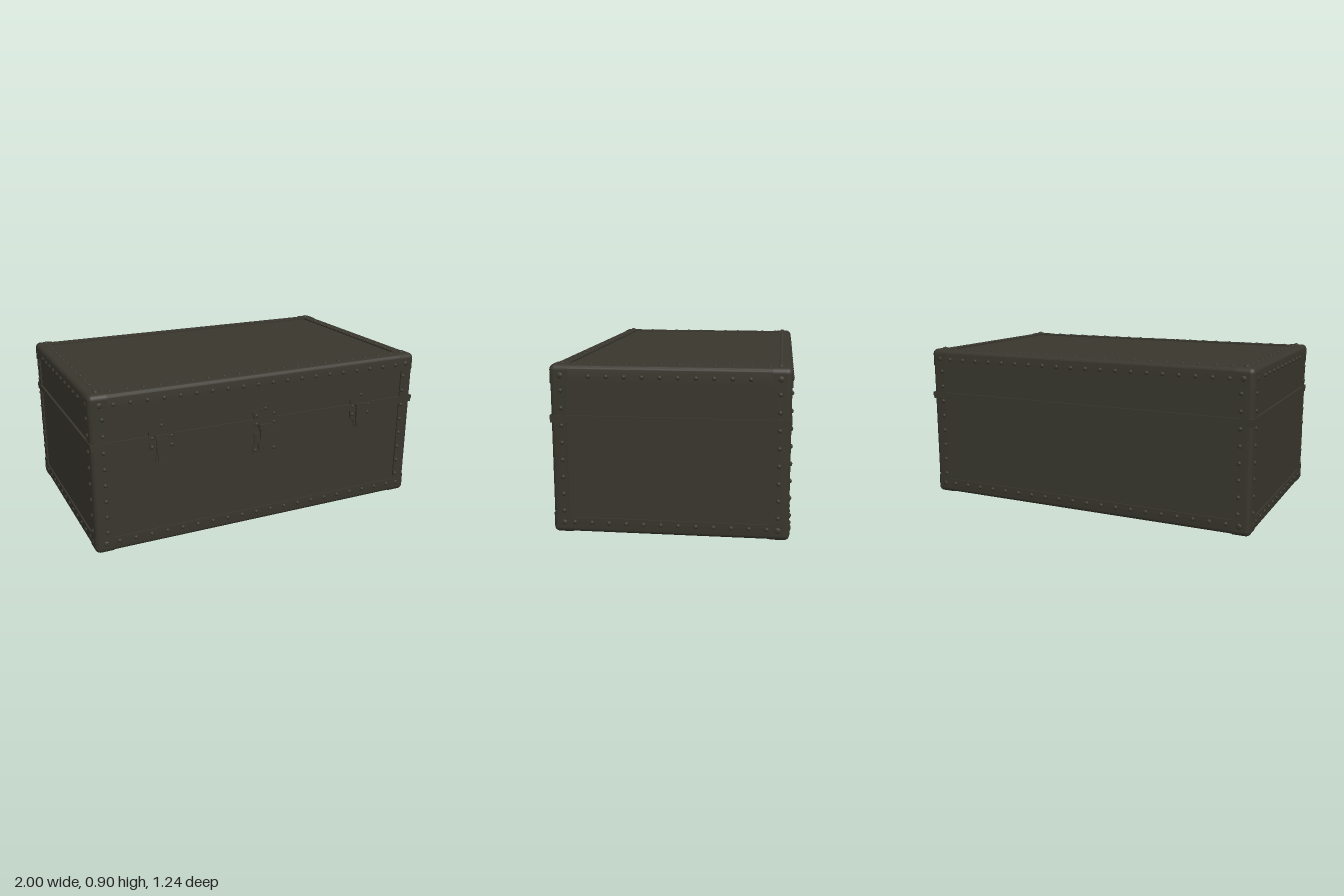
import * as THREE from 'three';
import { mergeGeometries, toCreasedNormals } from 'three/addons/utils/BufferGeometryUtils.js';
import { RoundedBoxGeometry } from 'three/addons/geometries/RoundedBoxGeometry.js';

// half sizes of the trunk and the middle of its body
const HX = 0.99, HY = 0.437, HZ = 0.605, CY = 0.4515, CZ = -0.005;
const TRIM = 0.08, SHEET = 0.009;

const plain = (g) => {
  const out = g.index ? g.toNonIndexed() : g;
  out.deleteAttribute('uv');
  return out;
};

const box = (w, h, d, x, y, z) => plain(new THREE.BoxGeometry(w, h, d).translate(x, y, z));

// domed rivet head facing along a normal
function rivet(x, y, z, normal, r = 0.012, height = 0.01) {
  const g = new THREE.SphereGeometry(r, 10, 3, 0, Math.PI * 2, 0, Math.PI / 2);
  g.scale(1, height / r, 1);
  g.applyQuaternion(new THREE.Quaternion().setFromUnitVectors(new THREE.Vector3(0, 1, 0), normal));
  return plain(g.translate(x, y, z));
}

// folded metal angle with a rounded outer edge, running along z
function angleStrip(length) {
  const r = 0.024, s = new THREE.Shape();
  s.moveTo(-TRIM, 0);
  s.lineTo(-TRIM, -SHEET);
  s.lineTo(-SHEET, -SHEET);
  s.lineTo(-SHEET, -TRIM);
  s.lineTo(0, -TRIM);
  s.lineTo(0, -r);
  s.absarc(-r, -r, r, 0, Math.PI / 2, false);
  s.closePath();
  const g = new THREE.ExtrudeGeometry(s, { depth: length, bevelEnabled: false, curveSegments: 5 });
  return toCreasedNormals(plain(g.translate(0, 0, -length / 2)), 0.6);
}

// open three-sided shell that wraps one corner
function cornerCap(sx, sy, sz) {
  const size = 0.13, src = plain(new RoundedBoxGeometry(size, size, size, 4, 0.03));
  const p = src.attributes.position, n = src.attributes.normal, pos = [], nor = [];
  for (let i = 0; i < p.count; i += 3) {
    const sum = (get) => n[get](i) + n[get](i + 1) + n[get](i + 2);
    if (sx * sum('getX') < -0.01 || sy * sum('getY') < -0.01 || sz * sum('getZ') < -0.01) continue;
    for (let j = i; j < i + 3; j++) {
      pos.push(p.getX(j), p.getY(j), p.getZ(j));
      nor.push(n.getX(j), n.getY(j), n.getZ(j));
    }
  }
  const g = new THREE.BufferGeometry();
  g.setAttribute('position', new THREE.Float32BufferAttribute(pos, 3));
  g.setAttribute('normal', new THREE.Float32BufferAttribute(nor, 3));
  const off = 0.004 - size / 2;
  return g.translate(sx * (HX + off), sy * (HY + off), sz * (HZ + off));
}

// flat plate from a half outline, mirrored left to right
function plate(half, depth, z) {
  const pts = [...half, ...half.slice().reverse().map(([x, y]) => [-x, y])];
  const shape = new THREE.Shape(pts.map(([x, y]) => new THREE.Vector2(x, y)));
  const g = new THREE.ExtrudeGeometry(shape, { depth, bevelEnabled: false });
  return plain(g.translate(0, 0, z));
}

const disc = (r, depth, y, z) =>
  plain(new THREE.CylinderGeometry(r, r, depth, 20).rotateX(Math.PI / 2).translate(0, y, z));

export function createModel() {
  const trunk = new THREE.Group();
  trunk.name = 'trunk';
  const olive = new THREE.MeshStandardMaterial({ color: 0x38362d, side: THREE.DoubleSide });
  olive.name = 'dark olive';

  const body = new THREE.Group();
  body.name = 'body';
  body.position.set(0, CY, CZ);
  trunk.add(body);
  const add = (name, geoms, parent = body) => {
    const m = new THREE.Mesh(mergeGeometries(geoms), olive);
    m.name = name;
    parent.add(m);
    return m;
  };
  const signs = [-1, 1];

  // walls and lid panel, open underneath
  const shell = new THREE.BoxGeometry(2 * (HX - 0.008), 2 * (HY - 0.008), 2 * (HZ - 0.008));
  const idx = Array.from(shell.index.array);
  idx.splice(18, 6);
  shell.setIndex(idx);
  add('shell', [plain(shell)]);

  // metal angles on all twelve edges
  const strips = [];
  for (const [a, b, len, turn] of [
    [HX, HY, HZ, (g) => g],
    [HZ, HY, HX, (g) => g.rotateY(Math.PI / 2)],
    [HX, HZ, HY, (g) => g.rotateX(-Math.PI / 2)],
  ]) {
    for (let k = 0; k < 4; k++) {
      const sx = k === 0 || k === 3 ? 1 : -1, sy = k < 2 ? 1 : -1;
      const g = angleStrip(2 * len - 0.07).rotateZ(k * Math.PI / 2).translate(sx * a, sy * b, 0);
      strips.push(turn(g));
    }
  }
  add('edgeTrim', strips);

  // corner caps with one large rivet on each face
  const caps = [], studs = [];
  const X = (s) => new THREE.Vector3(s, 0, 0);
  const Y = (s) => new THREE.Vector3(0, s, 0);
  const Z = (s) => new THREE.Vector3(0, 0, s);
  for (const sx of signs) for (const sy of signs) for (const sz of signs) {
    caps.push(cornerCap(sx, sy, sz));
    const x = sx * 0.935, y = sy * 0.385, z = sz * 0.55;
    studs.push(rivet(sx * (HX + 0.003), y, z, X(sx), 0.016, 0.007));
    studs.push(rivet(x, sy * (HY + 0.003), z, Y(sy), 0.016, 0.011));
    studs.push(rivet(x, y, sz * (HZ + 0.003), Z(sz), 0.016, 0.007));
  }
  add('cornerCaps', caps);
  add('cornerRivets', studs);

  // rows of small rivets along the trim
  const rivets = [];
  for (const s of signs) for (const t of signs) {
    for (let i = 0; i < 20; i++) {
      const x = (i - 9.5) * 0.0908;
      rivets.push(rivet(x, t * 0.382, s * HZ, Z(s)));
      if (t > 0) rivets.push(rivet(x, HY, s * 0.55, Y(1), 0.012, 0.007));
    }
    for (let i = 0; i < 12; i++) {
      const z = (i - 5.5) * 0.09;
      if (t < 0 || (i > 0 && i < 11)) rivets.push(rivet(s * HX, t * 0.382, z, X(s)));
      if (t > 0) rivets.push(rivet(s * 0.925, HY, z, Y(1), 0.012, 0.007));
    }
    for (let i = 0; i < 8; i++) {
      const y = 0.13 + i * 0.09 - CY;
      rivets.push(rivet(s * HX, y, t * 0.55, X(s)));
      rivets.push(rivet(t * 0.925, y, s * HZ, Z(s)));
    }
  }
  add('trimRivets', rivets);

  // closing band around the lid seam, in two steps
  const band = [];
  for (const [y, h, out] of [[0.622, 0.022, 0.004], [0.603, 0.016, 0.002]]) {
    for (const s of signs) {
      band.push(box(0.016, h, 2 * (HZ + out), s * (HX + out - 0.008), y - CY, 0));
      band.push(box(2 * (HX + out), h, 0.016, 0, y - CY, s * (HZ + out - 0.008)));
    }
  }
  add('seamBand', band);

  // two side latches
  const front = HZ + CZ - 0.01;
  for (const [name, x] of [['rightLatch', -0.61], ['leftLatch', 0.63]]) {
    const latch = new THREE.Group();
    latch.name = name;
    latch.position.set(x, 0, front);
    trunk.add(latch);
    add('latchPlate', [
      plate([[0.012, 0.715], [0.035, 0.69], [0.072, 0.655], [0.072, 0.612], [0.035, 0.605]], 0.013, 0),
      plate([[0.072, 0.6], [0.068, 0.55], [0.042, 0.525], [0.034, 0.49], [0.012, 0.47]], 0.01, 0),
    ], latch);
    add('latchHasp', [
      box(0.064, 0.085, 0.02, 0, 0.57, 0.013),
      box(0.076, 0.018, 0.026, 0, 0.625, 0.014),
      box(0.05, 0.05, 0.015, 0, 0.515, 0.012),
      box(0.036, 0.014, 0.024, 0, 0.497, 0.012),
    ], latch);
    add('latchRivets', [[0, 0.685], [-0.054, 0.62], [0.054, 0.62], [-0.054, 0.57], [0.054, 0.57]]
      .map(([u, v]) => rivet(u, v, 0.01, Z(1), 0.011, 0.009)), latch);
  }

  // centre lock with hinged hasp and key plate
  const lock = new THREE.Group();
  lock.name = 'centreLock';
  lock.position.set(0, 0, front);
  trunk.add(lock);
  add('lockPlates', [
    plate([[0.015, 0.715], [0.04, 0.695], [0.078, 0.675], [0.07, 0.64], [0.074, 0.592]], 0.013, 0),
    plate([[0.07, 0.555], [0.062, 0.5], [0.08, 0.455], [0.065, 0.425], [0.02, 0.42]], 0.01, 0),
  ], lock);
  add('lockHasp', [
    box(0.08, 0.022, 0.026, 0, 0.59, 0.014),
    box(0.064, 0.1, 0.014, 0, 0.54, 0.014),
    disc(0.045, 0.018, 0.475, 0.014),
    disc(0.016, 0.008, 0.465, 0.026),
  ], lock);
  add('lockRivets', [[0, 0.69], [-0.055, 0.655], [0.055, 0.655], [-0.055, 0.605], [0.055, 0.605],
    [-0.058, 0.45], [0.058, 0.45]].map(([u, v]) => rivet(u, v, 0.01, Z(1), 0.011, 0.009)), lock);

  return trunk;
}
